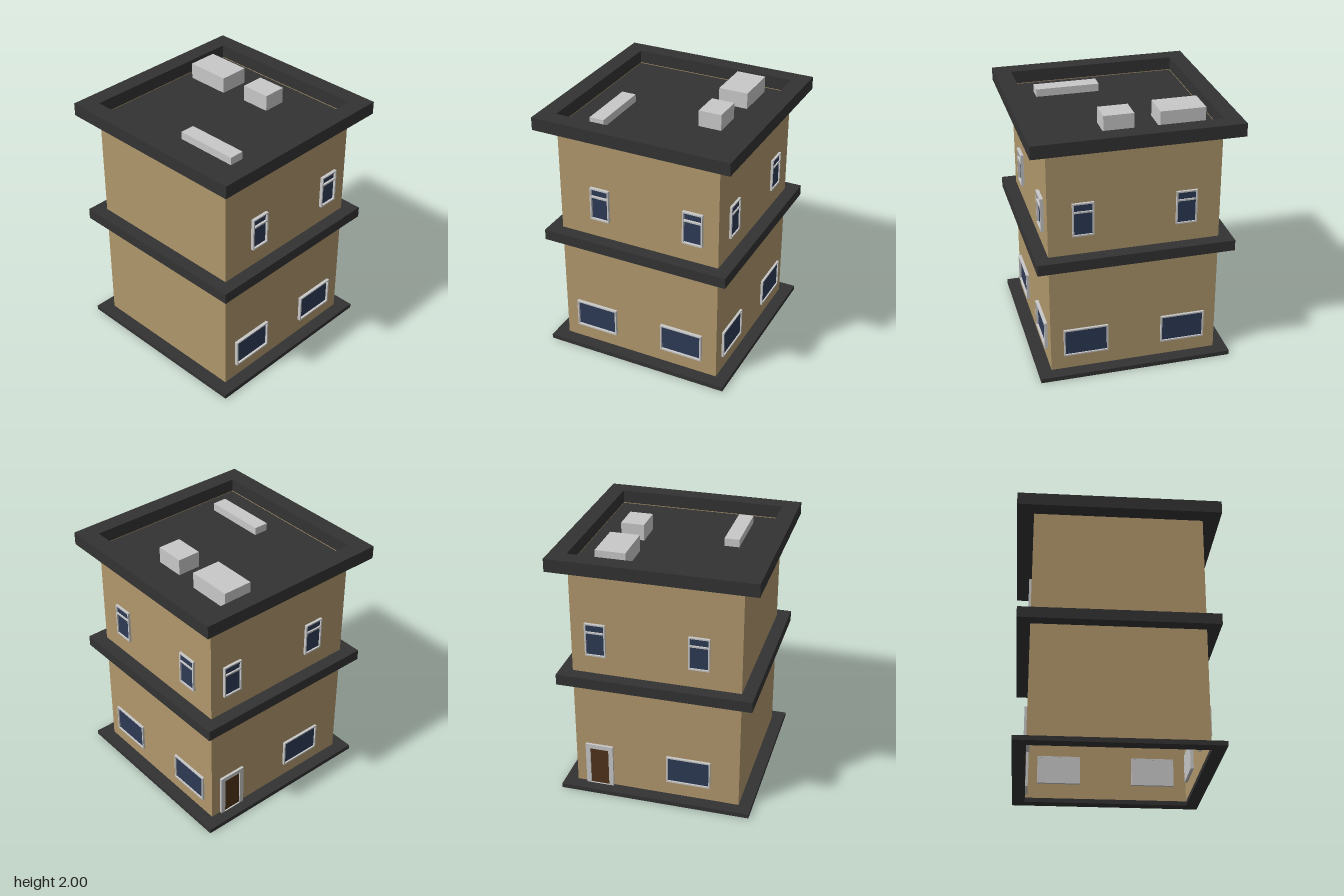
import * as THREE from 'three';

const material = (name, color, side = THREE.FrontSide) => {
  const m = new THREE.MeshStandardMaterial({ color, side });
  m.name = name;
  return m;
};

export function createModel() {
  const tan = material('tan render', 0xb0976c, THREE.DoubleSide);
  const dark = material('charcoal trim', 0x333333);
  const grey = material('light grey', 0xc8c8c8);
  const blue = material('dark blue glass', 0x2d3a55);
  const brown = material('brown door', 0x50331a);

  const model = new THREE.Group();
  model.name = 'building';
  const W = 0.65; // half width of the walls

  const add = (parent, name, geometry, mat, x = 0, y = 0, z = 0) => {
    const mesh = new THREE.Mesh(geometry, mat);
    mesh.name = name;
    mesh.position.set(x, y, z);
    parent.add(mesh);
    return mesh;
  };
  const box = (parent, name, w, h, d, mat, x, y, z) =>
    add(parent, name, new THREE.BoxGeometry(w, h, d), mat, x, y, z);

  // Rectangular frame extruded along z; border can differ at the bottom
  const frameGeometry = (w, h, border, depth, bottom = border) => {
    const s = new THREE.Shape();
    s.moveTo(-w / 2, -h / 2).lineTo(w / 2, -h / 2).lineTo(w / 2, h / 2).lineTo(-w / 2, h / 2).closePath();
    const x = w / 2 - border, y0 = -h / 2 + bottom, y1 = h / 2 - border;
    const hole = new THREE.Path();
    hole.moveTo(-x, y0).lineTo(-x, y1).lineTo(x, y1).lineTo(x, y0).closePath();
    s.holes.push(hole);
    return new THREE.ExtrudeGeometry(s, { depth, bevelEnabled: false });
  };

  // Square ring lying flat, standing on y
  const ring = (name, half, y, height) => {
    const g = frameGeometry(half * 2, half * 2, half - W, height);
    g.rotateX(-Math.PI / 2);
    add(model, name, g, dark, 0, y, 0);
  };

  // Walls: a hollow shell, open underneath
  for (let i = 0; i < 4; i++) {
    const g = new THREE.PlaneGeometry(W * 2, 1.845);
    g.translate(0, 0.9575, W).rotateY(i * Math.PI / 2);
    add(model, 'wall', g, tan);
  }

  // Plinth, floor band and roof with parapet
  ring('plinth', 0.75, 0, 0.035);
  box(model, 'floorBand', 1.5, 0.085, 1.5, dark, 0, 0.985, 0);
  ring('parapet', 0.78, 1.88, 0.1);
  box(model, 'roofDeck', W * 2 - 0.002, 0.02, W * 2 - 0.002, dark, 0, 1.865, 0);

  // Roof equipment: x0, x1, z0, z1, top
  for (const [x0, x1, z0, z1, top] of [
    [0.235, 0.465, -0.58, -0.235, 2],
    [0.262, 0.442, -0.047, 0.182, 2],
    [-0.455, -0.34, 0.02, 0.512, 1.935],
  ]) {
    box(model, 'roofUnit', x1 - x0, top - 1.87, z1 - z0, grey, (x0 + x1) / 2, (top + 1.87) / 2, (z0 + z1) / 2);
  }

  // Window in a facade's own frame; z = 0 is the wall surface
  const addWindow = (side, u0, u1, y0, y1, out, transom) => {
    const g = new THREE.Group();
    g.name = transom ? 'upperWindow' : 'lowerWindow';
    g.position.set((u0 + u1) / 2, (y0 + y1) / 2, 0);
    const w = u1 - u0, h = y1 - y0;
    add(g, 'windowFrame', frameGeometry(w, h, 0.011, out + 0.025), grey, 0, 0, -0.025);
    box(g, 'windowBack', w - 0.02, h - 0.02, 0.02, grey, 0, 0, -0.014);
    box(g, 'glass', w - 0.021, h - 0.021, 0.006, blue, 0, 0, 0.004);
    if (transom) box(g, 'transom', w - 0.021, 0.013, out, grey, 0, 1.372 - g.position.y, out / 2 - 0.001);
    side.add(g);
  };

  // Facades: turn, projection, lower and upper window spans from left to right
  const facades = [
    ['frontFacade', 0, 0.025, [[-0.545, -0.2], [0.185, 0.53]], [[-0.387, -0.232], [0.37, 0.53]]],
    ['sideFacade', 1, 0.018, [[-0.55, -0.205], [0.212, 0.558]], [[-0.468, -0.307], [0.31, 0.47]]],
    ['backFacade', 2, 0.02, [[0.08, 0.425]], [[-0.54, -0.38], [0.25, 0.41]]],
  ];
  for (const [name, turn, out, lower, upper] of facades) {
    const outer = new THREE.Group();
    outer.name = name;
    outer.rotation.y = turn * Math.PI / 2;
    const side = new THREE.Group();
    side.name = name + 'Openings';
    side.position.z = W;
    outer.add(side);
    model.add(outer);
    for (const [a, b] of lower) addWindow(side, a, b, 0.155, 0.382, out, false);
    for (const [a, b] of upper) addWindow(side, a, b, 1.18, 1.445, out, true);

    // Back door with a wide surround
    if (turn === 2) {
      add(side, 'doorFrame', frameGeometry(0.22, 0.355, 0.036, 0.04, 0.001), grey, -0.46, 0.2125, -0.02);
      box(side, 'door', 0.15, 0.319, 0.008, brown, -0.46, 0.1945, 0.005);
    }
  }
  return model;
}
